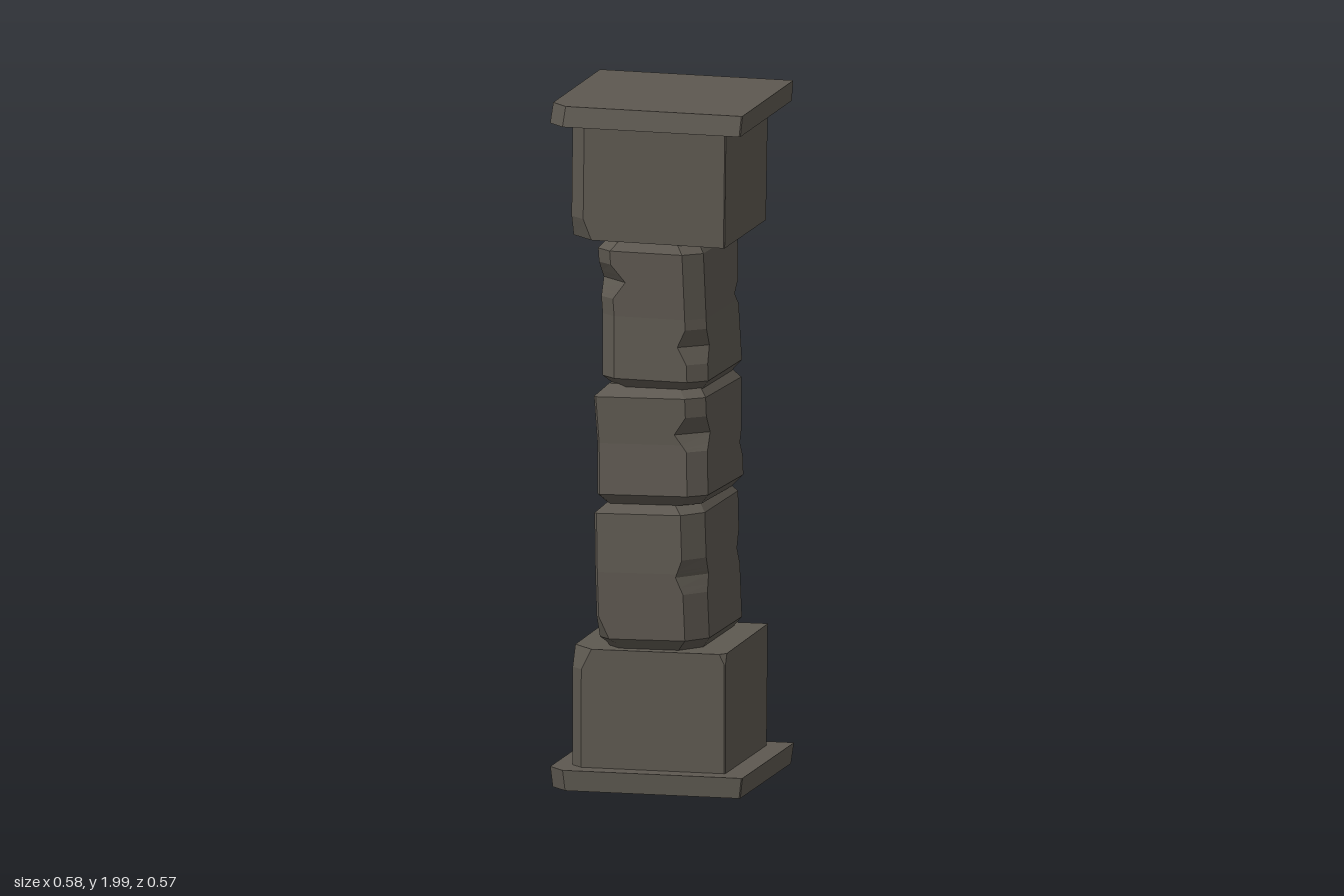
import * as THREE from 'three';

// Corner order: front -x, front +x, back +x, back -x
const SIGNS = [[-1, 1], [1, 1], [1, -1], [-1, -1]];

// rows: [y, x0, x1, z0, z1]; cuts: [cx, cz] bevel per corner;
// chips: [corner, y, halfHeight, depth]; tilt: y slope along x and z
function stone(name, material, { rows, cuts, chips = [], tilt = [0, 0] }) {
  const bottom = rows[0][0], top = rows[rows.length - 1][0];
  const levels = rows.map(r => r[0]);
  for (const [, y, h] of chips) levels.push(y - h, y, y + h);
  const ys = [...new Set(levels.filter(y => y >= bottom && y <= top))].sort((a, b) => a - b);

  const rings = ys.map(y => {
    let k = 0;
    while (k < rows.length - 2 && y > rows[k + 1][0]) k++;
    const t = (y - rows[k][0]) / (rows[k + 1][0] - rows[k][0]);
    const [, x0, x1, z0, z1] = rows[k].map((v, i) => v + (rows[k + 1][i] - v) * t);
    const ring = [];
    SIGNS.forEach(([sx, sz], c) => {
      let [cx, cz] = cuts[c];
      for (const [corner, cy, h, depth] of chips) {
        if (corner !== c) continue;
        const d = depth * Math.max(0, 1 - Math.abs(y - cy) / h);
        cx += d;
        cz += d;
      }
      const x = sx < 0 ? x0 : x1, z = sz < 0 ? z0 : z1;
      const alongZ = [x, z - sz * cz], alongX = [x - sx * cx, z];
      ring.push(...(c % 2 === 0 ? [alongZ, alongX] : [alongX, alongZ]));
    });
    return ring.map(([x, z]) => [x, y + tilt[0] * x + tilt[1] * z, z]);
  });

  const pos = [];
  const tri = (a, b, c) => pos.push(...a, ...b, ...c);
  for (let r = 0; r < rings.length - 1; r++) {
    for (let i = 0; i < 8; i++) {
      const j = (i + 1) % 8, lo = rings[r], hi = rings[r + 1];
      tri(lo[i], lo[j], hi[j]);
      tri(lo[i], hi[j], hi[i]);
    }
  }
  const first = rings[0], last = rings[rings.length - 1];
  for (let i = 1; i < 7; i++) {
    tri(last[0], last[i], last[i + 1]);
    tri(first[0], first[i + 1], first[i]);
  }
  const geometry = new THREE.BufferGeometry();
  geometry.setAttribute('position', new THREE.Float32BufferAttribute(pos, 3));
  geometry.computeVertexNormals();
  const mesh = new THREE.Mesh(geometry, material);
  mesh.name = name;
  return mesh;
}

export function createModel() {
  const group = new THREE.Group();
  group.name = 'stonePillar';
  const rock = new THREE.MeshStandardMaterial({ color: 0x5d5850, flatShading: true });
  rock.name = 'darkStone';
  const S = 0.003; // nearly sharp corner

  const parts = {
    // Base slab and block
    baseSlab: {
      rows: [[0.008, -0.288, 0.28, -0.283, 0.278], [0.068, -0.294, 0.288, -0.285, 0.284]],
      cuts: [[0.05, 0.05], [S, S], [S, S], [S, S]], tilt: [0.005, 0],
    },
    baseBlock: {
      rows: [[0.06, -0.24, 0.222, -0.23, 0.226], [0.418, -0.236, 0.225, -0.232, 0.237]],
      cuts: [[0.035, 0.035], [S, S], [S, S], [S, S]],
      chips: [[0, 0.418, 0.06, 0.03], [1, 0.418, 0.03, 0.015]], tilt: [0.01, -0.01],
    },
    // Three weathered shaft stones
    lowerShaftStone: {
      rows: [[0.41, -0.13, 0.13, -0.21, 0.2], [0.445, -0.158, 0.158, -0.234, 0.228],
        [0.64, -0.162, 0.152, -0.228, 0.236], [0.81, -0.166, 0.145, -0.24, 0.23],
        [0.842, -0.13, 0.12, -0.21, 0.205]],
      cuts: [[0.008, 0.008], [0.055, 0.065], [0.03, 0.04], [0.008, 0.01]],
      chips: [[0, 0.43, 0.08, 0.035], [1, 0.63, 0.05, 0.02], [2, 0.65, 0.05, 0.025],
        [3, 0.83, 0.1, 0.05]], tilt: [0.02, 0.01],
    },
    middleShaftStone: {
      rows: [[0.832, -0.13, 0.135, -0.2, 0.21], [0.862, -0.155, 0.162, -0.23, 0.238],
        [1.01, -0.158, 0.158, -0.225, 0.23], [1.145, -0.167, 0.154, -0.238, 0.234],
        [1.18, -0.13, 0.125, -0.21, 0.2]],
      cuts: [[0.008, 0.01], [0.05, 0.045], [0.025, 0.035], [0.008, 0.008]],
      chips: [[1, 1.04, 0.05, 0.035], [2, 0.96, 0.04, 0.025], [3, 0.9, 0.05, 0.03]],
      tilt: [0.02, 0.03],
    },
    upperShaftStone: {
      rows: [[1.17, -0.12, 0.135, -0.21, 0.205], [1.2, -0.15, 0.16, -0.232, 0.232],
        [1.38, -0.152, 0.152, -0.222, 0.226], [1.57, -0.163, 0.146, -0.236, 0.234],
        [1.608, -0.13, 0.12, -0.215, 0.21]],
      cuts: [[0.045, 0.04], [0.05, 0.05], [0.045, 0.045], [0.035, 0.04]],
      chips: [[0, 1.48, 0.05, 0.04], [1, 1.3, 0.05, 0.025], [2, 1.4, 0.035, 0.04],
        [3, 1.5, 0.05, 0.02]], tilt: [-0.01, 0.015],
    },
    // Capital block and slab
    capitalBlock: {
      rows: [[1.6, -0.244, 0.22, -0.23, 0.227], [1.945, -0.238, 0.226, -0.23, 0.235]],
      cuts: [[0.045, 0.04], [S, S], [S, S], [S, S]],
      chips: [[0, 1.6, 0.06, 0.025], [3, 1.6, 0.05, 0.015]], tilt: [-0.012, 0],
    },
    capitalSlab: {
      rows: [[1.938, -0.294, 0.282, -0.284, 0.285], [1.996, -0.288, 0.285, -0.288, 0.272]],
      cuts: [[0.05, 0.05], [S, S], [S, S], [S, S]], tilt: [-0.006, -0.004],
    },
  };
  for (const [name, spec] of Object.entries(parts)) group.add(stone(name, rock, spec));
  return group;
}
